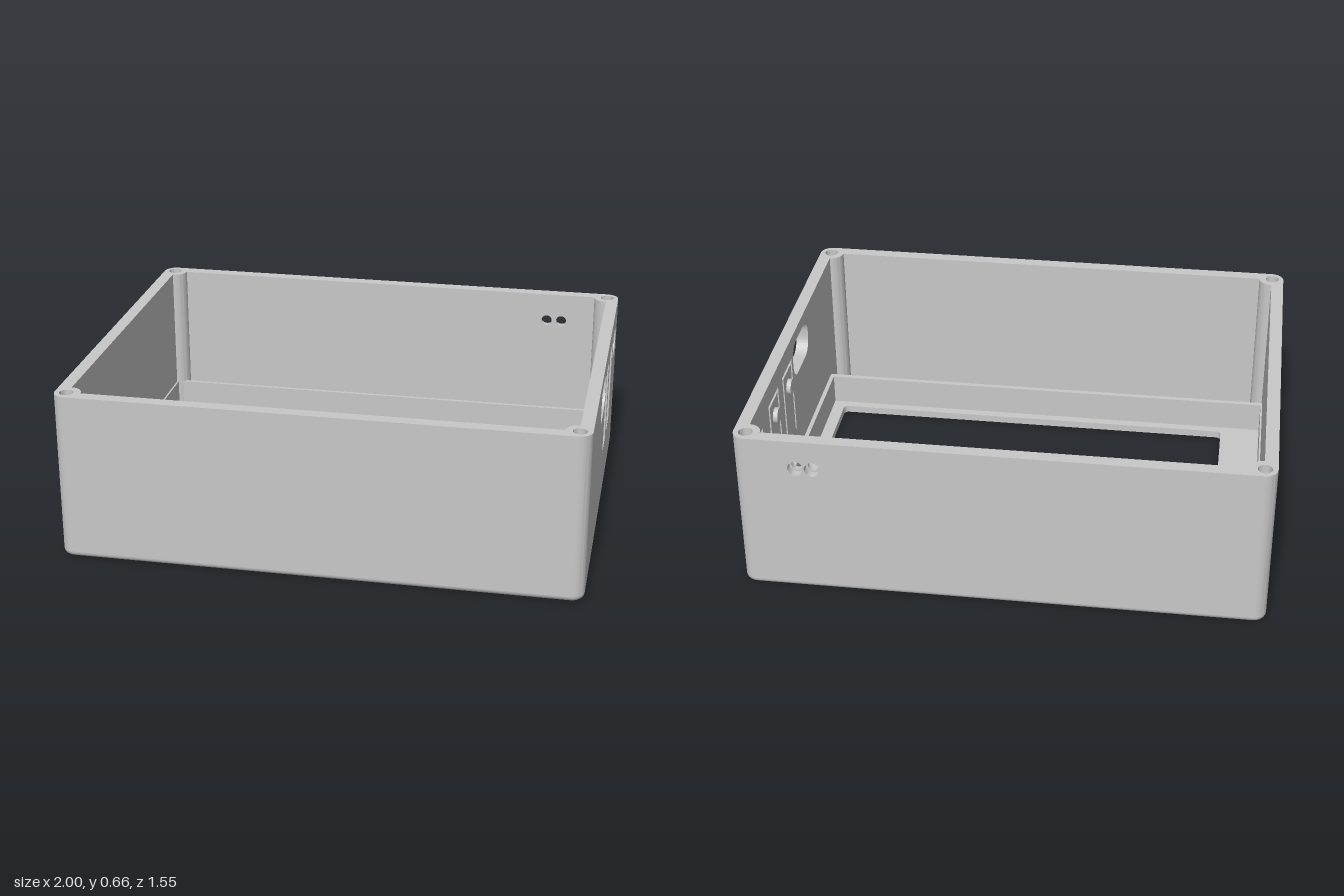
import * as THREE from 'three';
import { toCreasedNormals } from 'three/addons/utils/BufferGeometryUtils.js';

const HX = 1, HZ = 0.773, TOP = 0.662;   // half width, half depth, height
const T = 0.05, FILLET = 0.022, FLOOR = 0.03;

export function createModel() {
  const group = new THREE.Group();
  const grey = new THREE.MeshStandardMaterial({ color: 0xc8c8c8 });
  grey.name = 'light grey plastic';

  const add = (name, geometry) => {
    const mesh = new THREE.Mesh(geometry, grey);
    mesh.name = name;
    group.add(mesh);
    return mesh;
  };

  // Rectangle with optional round corners
  const rect = (x0, y0, x1, y1, r = 0) => {
    const s = new THREE.Shape();
    if (!r) {
      s.moveTo(x0, y0).lineTo(x1, y0).lineTo(x1, y1).lineTo(x0, y1).closePath();
      return s;
    }
    s.absarc(x1 - r, y0 + r, r, -Math.PI / 2, 0);
    s.absarc(x1 - r, y1 - r, r, 0, Math.PI / 2);
    s.absarc(x0 + r, y1 - r, r, Math.PI / 2, Math.PI);
    s.absarc(x0 + r, y0 + r, r, Math.PI, Math.PI * 1.5);
    s.closePath();
    return s;
  };
  const circle = (x, y, r) => new THREE.Shape().absarc(x, y, r, 0, Math.PI * 2);

  const extrude = (shape, depth, holes = []) => {
    shape.holes.push(...holes);
    return toCreasedNormals(new THREE.ExtrudeGeometry(shape,
      { depth, bevelEnabled: false, curveSegments: 12 }), 0.6);
  };
  // Plan shape (x, -z) raised upward from height y
  const plan = (shape, y, height, holes) =>
    extrude(shape, height, holes).rotateX(-Math.PI / 2).translate(0, y, 0);

  // Floor with the display window
  add('floor', plan(rect(-HX + FILLET, -HZ + FILLET, HX - FILLET, HZ - FILLET, T - FILLET),
    0, FLOOR, [rect(-0.78, -0.488, 0.878, 0.635, 0.02)]));

  // Rounded bottom edge, swept as stacked loops
  const positions = [], index = [], arc = 8, rings = 6, n = 4 * (arc + 1);
  for (let j = 0; j <= rings; j++) {
    const p = j / rings * Math.PI / 2;
    const r = T - FILLET * (1 - Math.sin(p)), y = FILLET * (1 - Math.cos(p));
    for (let q = 0; q < 4; q++) {
      const sx = q === 0 || q === 3 ? 1 : -1, sz = q < 2 ? -1 : 1;
      for (let i = 0; i <= arc; i++) {
        const a = (q + i / arc) * Math.PI / 2;
        positions.push(sx * (HX - T) + r * Math.cos(a), y, sz * (HZ - T) - r * Math.sin(a));
      }
    }
  }
  for (let j = 0; j < rings; j++) for (let i = 0; i < n; i++) {
    const a = j * n + i, b = j * n + (i + 1) % n;
    index.push(a, b, b + n, a, b + n, a + n);
  }
  const edge = new THREE.BufferGeometry();
  edge.setAttribute('position', new THREE.Float32BufferAttribute(positions, 3));
  edge.setIndex(index);
  edge.computeVertexNormals();
  add('bottomEdge', edge);

  // Thin rib framing the display pocket
  add('displayRib', plan(rect(-0.95, -0.545, 0.945, 0.695), FLOOR, 0.125,
    [rect(-0.943, -0.524, 0.928, 0.68)]));

  // Corner posts with blind screw holes
  for (let k = 0; k < 4; k++) {
    const s = new THREE.Shape();
    s.moveTo(T, -T).lineTo(T, 0).absarc(0, 0, T, 0, Math.PI / 2);
    s.lineTo(-T, T).lineTo(-T, 0).absarc(0, 0, T, Math.PI, Math.PI * 1.5);
    s.closePath();
    const sx = k === 0 || k === 3 ? 1 : -1, sz = k < 2 ? -1 : 1;
    const x = sx * (HX - T), z = sz * (HZ - T), shift = 0.003;
    const post = add('cornerPost', plan(s, FILLET, TOP - FILLET, [circle(shift, shift, 0.027)]));
    post.position.set(x, 0, z);
    post.rotation.y = k * Math.PI / 2;
    const plug = add('screwHoleBottom', new THREE.CylinderGeometry(0.028, 0.028, 0.3, 24));
    plug.position.set(x + sx * shift, 0.18, z + sz * shift);
  }

  // Wall layer: from/to are distances out from the inner wall face
  const wall = (name, angle, from, to, holes = []) => {
    const side = Math.abs(Math.sin(angle)) > 0.5;
    const half = (side ? HZ : HX) - 2 * T, out = (side ? HX : HZ) - T + from;
    const mesh = add(name, extrude(rect(-half, FILLET, half, TOP), to - from, holes));
    mesh.rotation.y = angle;
    mesh.position.set(Math.sin(angle) * out, 0, Math.cos(angle) * out);
  };
  wall('frontWall', 0, 0, T);
  wall('rightWall', -Math.PI / 2, 0, T);

  // Back wall with two stepped round holes (u = -x)
  const pair = r => [-0.762, -0.7].map(u => circle(u, 0.545, r));
  wall('backWallInner', Math.PI, 0, 0.02, pair(0.022));
  wall('backWallOuter', Math.PI, 0.02, T, pair(0.03));

  // Left wall (u = -z): cable opening, two flexible buttons, recessed port
  const buttons = [0.127, 0.345], w = 0.076, gap = 0.016, y0 = 0.24, y1 = 0.58;
  const cable = () => rect(-0.228, 0.466, 0.028, 0.614, 0.062);
  const port = () => rect(0.52, 0.502, 0.606, 0.548);
  const slots = () => buttons.map(u => rect(u - w, y0, u + w, y1));
  const tongueGap = u => {
    const s = new THREE.Shape(), b = y0 + 0.014, i = w - gap;
    s.moveTo(u - w, b).lineTo(u - i, b).lineTo(u - i, y1 - gap).lineTo(u + i, y1 - gap);
    s.lineTo(u + i, b).lineTo(u + w, b).lineTo(u + w, y1).lineTo(u - w, y1).closePath();
    return s;
  };
  wall('leftWallInner', Math.PI / 2, 0, 0.016, [cable(), ...buttons.map(tongueGap), port()]);
  wall('leftWallMiddle', Math.PI / 2, 0.016, 0.028, [cable(), ...slots(), port()]);
  wall('leftWallOuter', Math.PI / 2, 0.028, T,
    [cable(), ...slots(), rect(0.486, 0.473, 0.642, 0.577, 0.032)]);

  // Button pins through the tongues
  for (const u of buttons) {
    const pin = add('buttonPin', new THREE.CylinderGeometry(0.032, 0.032, 0.05, 28));
    pin.rotation.z = Math.PI / 2;
    pin.position.set(0.957, 0.496, -u);
  }
  return group;
}
